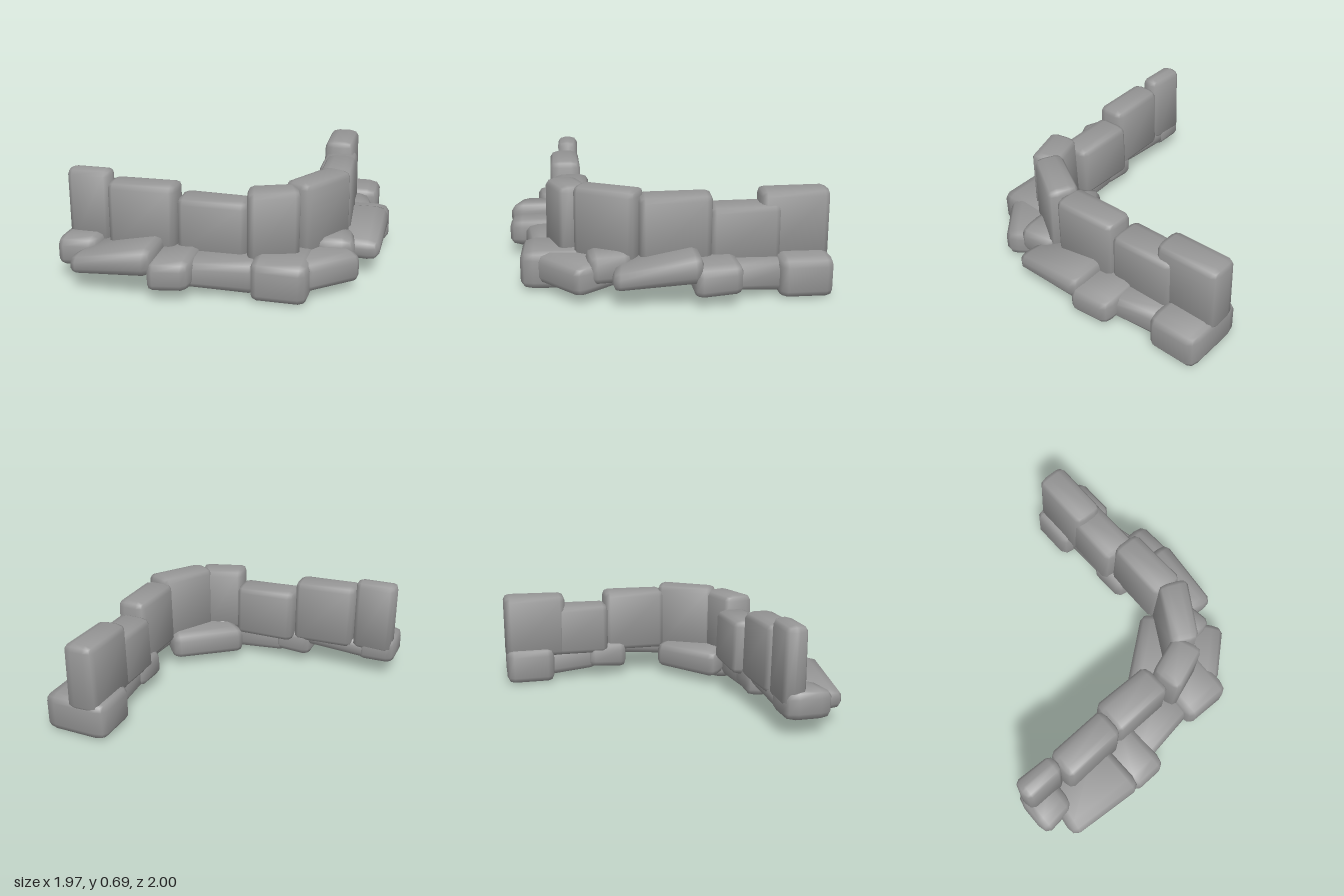
import * as THREE from 'three';
import { mergeVertices } from 'three/addons/utils/BufferGeometryUtils.js';
import { RoundedBoxGeometry } from 'three/addons/geometries/RoundedBoxGeometry.js';

const material = new THREE.MeshStandardMaterial({ color: 0x969696 });
const lerp = THREE.MathUtils.lerp;
const DEPTH_BEVEL = 1.6; // bevels reach further in across the wall than along it

// Hewn stone: a bevelled box warped onto a four-cornered plan [x, z] (clockwise
// from above, a-b running along the wall). bottom and top each give heights at
// the a-d and b-c ends; taper thins the stone towards its top.
function stone(name, [a, b, c, d], bottom, top, radius, taper = 0) {
  const span = (p, q) => Math.hypot(p[0] - q[0], p[1] - q[1]);
  const w = (span(a, b) + span(c, d)) / 2;
  const l = (span(b, c) + span(d, a)) / 2 / DEPTH_BEVEL;
  const h = (top[0] + top[1] - bottom[0] - bottom[1]) / 2;
  const box = new RoundedBoxGeometry(w, h, l, 1, radius);
  box.deleteAttribute('normal');
  box.deleteAttribute('uv');
  box.clearGroups();
  const geometry = mergeVertices(box, 1e-4);
  const pos = geometry.attributes.position;
  for (let i = 0; i < pos.count; i++) {
    const s = pos.getX(i) / w + 0.5;
    const v = pos.getY(i) / h + 0.5;
    const t = (pos.getZ(i) / l) * (1 - taper * v) + 0.5;
    const at = (k) => lerp(lerp(a[k], b[k], s), lerp(d[k], c[k], s), t);
    pos.setXYZ(i, at(0), lerp(lerp(bottom[0], bottom[1], s), lerp(top[0], top[1], s), v), at(1));
  }

  // lean the normals outwards for a softly pillowed surface
  geometry.computeVertexNormals();
  geometry.computeBoundingBox();
  const centre = geometry.boundingBox.getCenter(new THREE.Vector3());
  const normal = geometry.attributes.normal;
  for (let i = 0; i < pos.count; i++) {
    const outward = new THREE.Vector3().fromBufferAttribute(pos, i).sub(centre).normalize();
    const n = new THREE.Vector3().fromBufferAttribute(normal, i).addScaledVector(outward, 0.4).normalize();
    normal.setXYZ(i, n.x, n.y, n.z);
  }
  const mesh = new THREE.Mesh(geometry, material);
  mesh.name = name;
  return mesh;
}

// Upright stones, from the left end of the front arm round to the end of the side arm
const uprights = [
  [[[-0.965, 0.52], [-0.68, 0.53], [-0.68, 0.67], [-0.965, 0.675]], [0.685, 0.685]],
  [[[-0.685, 0.515], [-0.25, 0.5], [-0.25, 0.72], [-0.685, 0.73]], [0.63, 0.625]],
  [[[-0.255, 0.445], [0.175, 0.45], [0.19, 0.69], [-0.255, 0.7]], [0.55, 0.54]],
  [[[0.16, 0.53], [0.43, 0.44], [0.515, 0.64], [0.2, 0.75]], [0.63, 0.635]],
  [[[0.36, 0.48], [0.57, 0.12], [0.77, 0.21], [0.54, 0.575]], [0.65, 0.655]],
  [[[0.745, -0.27], [0.755, 0.175], [0.525, 0.17], [0.53, -0.275]], [0.625, 0.62]],
  [[[0.72, -0.695], [0.725, -0.25], [0.475, -0.26], [0.48, -0.69]], [0.545, 0.54]],
  [[[0.695, -1.0], [0.69, -0.565], [0.475, -0.57], [0.475, -1.0]], [0.63, 0.625]],
];

// Footing stones: plan, bottom heights, top heights
const footings = [
  [[[-0.985, 0.53], [-0.72, 0.53], [-0.73, 0.81], [-0.985, 0.84]], [0.1, 0.1], [0.29, 0.285]],
  [[[-0.8, 0.54], [-0.33, 0.52], [-0.32, 1.005], [-0.86, 0.96]], [0.105, 0.145], [0.225, 0.32]],
  [[[-0.375, 0.51], [-0.1, 0.51], [-0.095, 0.995], [-0.36, 1.0]], [0.055, 0.075], [0.245, 0.255]],
  [[[-0.19, 0.52], [0.28, 0.53], [0.28, 0.83], [-0.19, 0.9]], [0.06, 0.02], [0.23, 0.225]],
  [[[0.24, 0.45], [0.59, 0.45], [0.58, 0.89], [0.235, 0.885]], [0.005, 0.005], [0.255, 0.245]],
  // broad slab under the corner
  [[[0.08, 0.42], [0.51, 0.09], [0.87, 0.54], [0.57, 0.8]], [0.05, 0.05], [0.24, 0.235]],
  // side arm
  [[[0.78, 0.21], [0.815, 0.47], [0.55, 0.5], [0.53, 0.23]], [0.1, 0.1], [0.29, 0.285]],
  [[[0.98, -0.19], [0.95, 0.35], [0.57, 0.3], [0.55, -0.18]], [0.145, 0.105], [0.32, 0.225]],
  [[[0.97, -0.425], [0.985, -0.13], [0.49, -0.12], [0.48, -0.41]], [0.075, 0.055], [0.255, 0.245]],
  [[[0.805, -0.71], [0.875, -0.34], [0.51, -0.34], [0.51, -0.71]], [0.02, 0.06], [0.225, 0.23]],
  [[[0.87, -0.99], [0.87, -0.655], [0.43, -0.66], [0.43, -1.0]], [0, 0], [0.25, 0.25]],
];

export function createModel() {
  const wall = new THREE.Group();
  wall.name = 'cornerStoneWall';
  uprights.forEach(([plan, top], i) =>
    wall.add(stone(`uprightStone${i + 1}`, plan, [0.18, 0.18], top, 0.04, 0.08)));
  footings.forEach(([plan, bottom, top], i) =>
    wall.add(stone(`footingStone${i + 1}`, plan, bottom, top, 0.05)));
  return wall;
}
